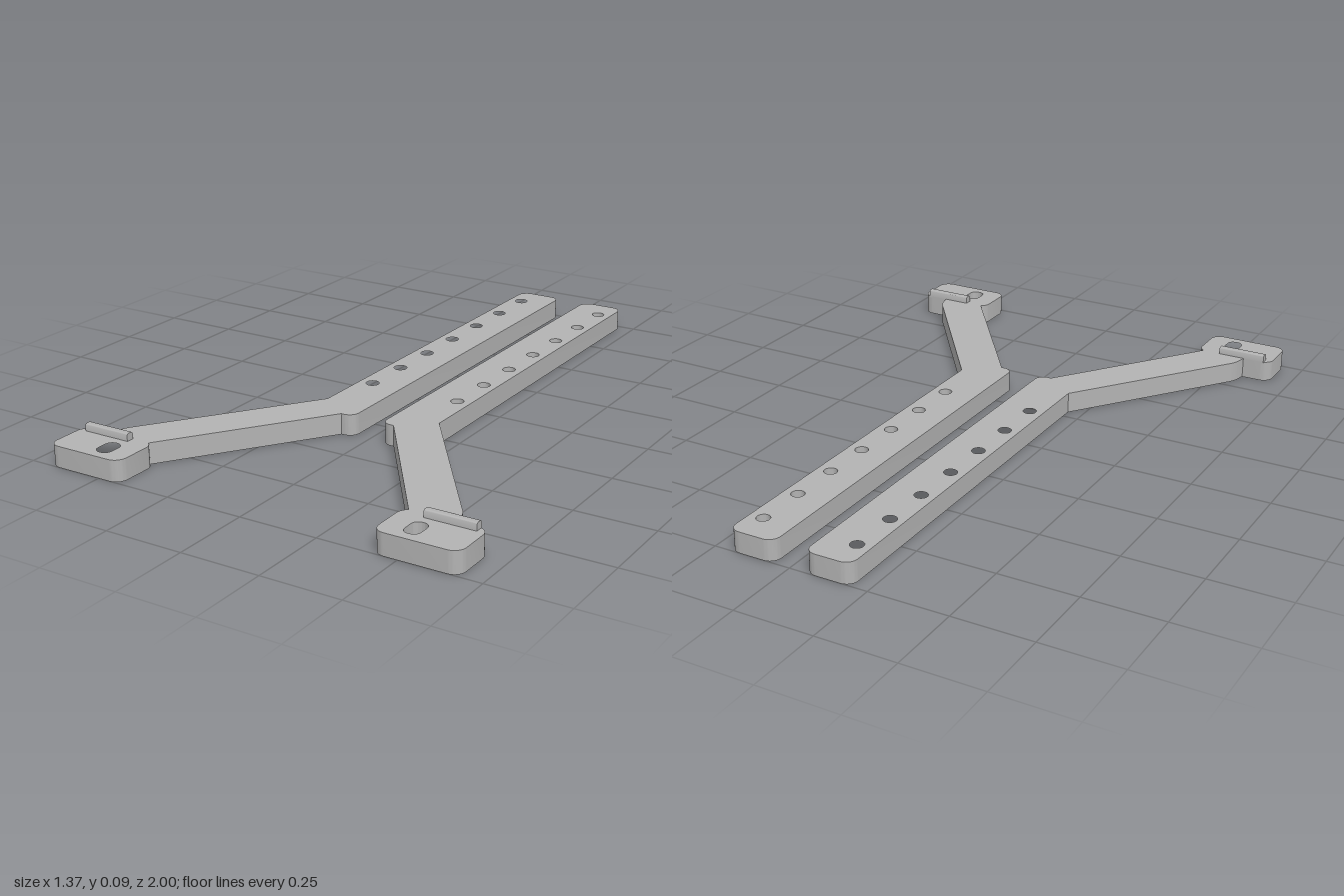
import * as THREE from 'three';
import { toCreasedNormals } from 'three/addons/utils/BufferGeometryUtils.js';

const HEIGHT = 0.067;

// Adds a closed outline to a path; each corner is [x, y, roundingRadius]
function roundedPath(path, corners) {
  const n = corners.length;
  corners.forEach(([x, y, r], i) => {
    const toward = ([px, py], d) => {
      const len = Math.hypot(px - x, py - y);
      return [x + (px - x) * d / len, y + (py - y) * d / len];
    };
    const prev = corners[(i + n - 1) % n], next = corners[(i + 1) % n];
    const start = toward(prev, r);
    if (i === 0) path.moveTo(...start); else path.lineTo(...start);
    if (r > 0) path.bezierCurveTo(...toward(prev, r * 0.45), ...toward(next, r * 0.45), ...toward(next, r));
  });
  path.closePath();
  return path;
}

// Extrudes a plan shape (x, z) upward from y = 0
function extrudePlan(shape) {
  const geometry = new THREE.ExtrudeGeometry(shape, { depth: HEIGHT, bevelEnabled: false, curveSegments: 10 });
  geometry.rotateX(Math.PI / 2).translate(0, HEIGHT, 0);
  return toCreasedNormals(geometry, 0.6);
}

function createRail(side, material) {
  const rail = new THREE.Group();
  rail.name = side > 0 ? 'leftRail' : 'rightRail';
  const flip = corners => corners.map(([x, z, r]) => [side * x, z, r]);

  // Straight bar, slanted arm and foot in one outline
  const shape = roundedPath(new THREE.Shape(), flip([
    [0.05, -1, 0.035], [0.2, -1, 0.035], [0.2, 0.285, 0],
    [0.578, 0.797, 0.02], [0.588, 0.845, 0],
    [0.683, 0.845, 0.035], [0.683, 1, 0.035], [0.423, 1, 0.035],
    [0.423, 0.86, 0.018], [0.441, 0.848, 0],
    [0.093, 0.37, 0], [0.05, 0.37, 0.032],
  ]));

  // Row of seven through holes
  for (let i = 0; i < 7; i++) {
    const hole = new THREE.Path();
    hole.absarc(side * 0.155, -0.9 + i / 6, 0.021, 0, Math.PI * 2, true);
    shape.holes.push(hole);
  }

  // Slot through the foot
  shape.holes.push(roundedPath(new THREE.Path(), flip([
    [0.491, 0.896, 0.022], [0.541, 0.896, 0.022], [0.541, 0.97, 0.022], [0.491, 0.97, 0.022],
  ])));
  const body = new THREE.Mesh(extrudePlan(shape), material);
  body.name = 'railBody';
  rail.add(body);

  // Raised lip along the back of the foot, rounded on top
  const lipShape = roundedPath(new THREE.Shape(), [
    [-0.0125, HEIGHT - 0.005, 0], [0.0125, HEIGHT - 0.005, 0],
    [0.0125, 0.09, 0.007], [-0.0125, 0.09, 0.007],
  ]);
  const lipGeometry = new THREE.ExtrudeGeometry(lipShape, { depth: 0.159, bevelEnabled: false, curveSegments: 5 });
  lipGeometry.translate(0, 0, -0.0795).rotateY(Math.PI / 2);
  const lip = new THREE.Mesh(toCreasedNormals(lipGeometry, 0.6), material);
  lip.name = 'footLip';
  lip.position.set(side * 0.5795, 0, 0.8575);
  rail.add(lip);
  return rail;
}

export function createModel() {
  const material = new THREE.MeshStandardMaterial({ color: 0xb3b3b3 });
  material.name = 'plain grey';
  const model = new THREE.Group();
  model.name = 'railPair';
  for (const side of [1, -1]) model.add(createRail(side, material));
  return model;
}
